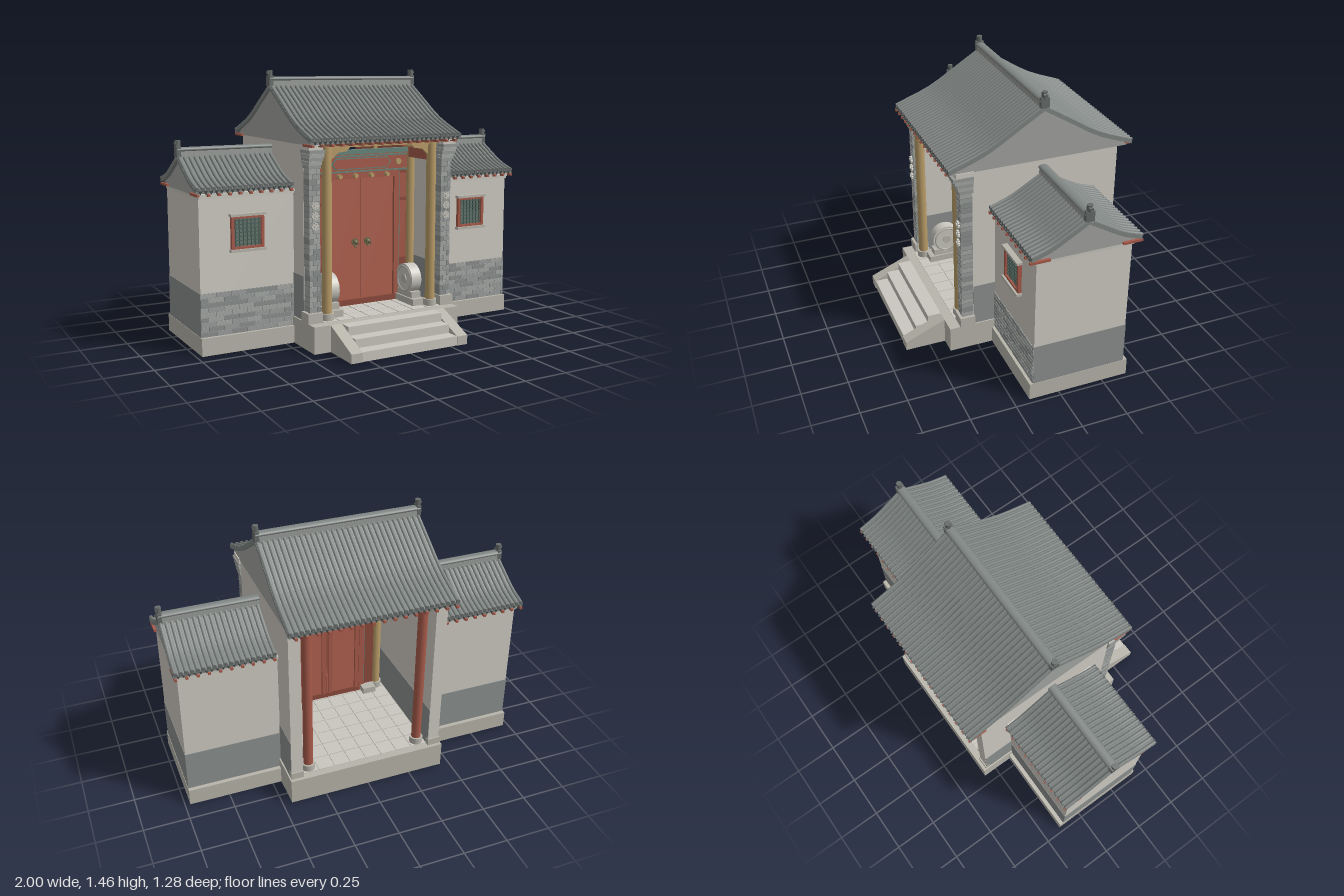
import * as THREE from 'three';
import { mergeGeometries } from 'three/addons/utils/BufferGeometryUtils.js';

const C = { wall: 0xd0ccc4, dado: 0x8c908e, stone: 0xb8b5ab, pale: 0xc9c7be, tile: 0x7f8583, tileDark: 0x666b69,
  red: 0xa65a4a, darkRed: 0x8c4a3c, gold: 0xb99c68, green: 0x64857a, darkGreen: 0x4a5e57, joint: 0x777b78, metal: 0x6e6a4c };
const ZC = -0.115; // ridge line
const mats = {};
const mat = c => (mats[c] ??= new THREE.MeshStandardMaterial({ color: c }));

export function createModel() {
  const root = new THREE.Group();
  root.name = 'courtyardGate';
  let seed = 7;
  const rnd = () => (seed = (seed * 16807) % 2147483647) / 2147483647;

  const add = (name, color, geo) => {
    const m = new THREE.Mesh(geo, mat(color));
    m.name = name;
    root.add(m);
    return m;
  };
  const boxGeo = (x0, x1, y0, y1, z0, z1) =>
    new THREE.BoxGeometry(Math.abs(x1 - x0), y1 - y0, z1 - z0).translate((x0 + x1) / 2, (y0 + y1) / 2, (z0 + z1) / 2);
  const box = (name, color, ...b) => add(name, color, boxGeo(...b));
  const cylY = (r, y0, y1, x, z, n = 20) => new THREE.CylinderGeometry(r, r, y1 - y0, n).translate(x, (y0 + y1) / 2, z);
  const cylX = (r, x0, x1, y, z, n = 16) =>
    new THREE.CylinderGeometry(r, r, Math.abs(x1 - x0), n).rotateZ(Math.PI / 2).translate((x0 + x1) / 2, y, z);
  const cylZ = (r, z0, z1, x, y, n = 16) =>
    new THREE.CylinderGeometry(r, r, z1 - z0, n).rotateX(Math.PI / 2).translate(x, y, (z0 + z1) / 2);
  // outline of [z, y] points, extruded from x0 to x1
  const slabX = (pts, x0, x1) =>
    new THREE.ExtrudeGeometry(new THREE.Shape(pts.map(p => new THREE.Vector2(...p))), { depth: x1 - x0, bevelEnabled: false })
      .rotateY(-Math.PI / 2).translate(x1, 0, 0);
  // outline of [x, y] points, extruded from z0 to z1
  const slabZ = (pts, z0, z1) =>
    new THREE.ExtrudeGeometry(new THREE.Shape(pts.map(p => new THREE.Vector2(...p))), { depth: z1 - z0, bevelEnabled: false })
      .translate(0, 0, z0);

  // rows of bricks in three shades
  function bricks(name, x0, x1, y0, y1, z0, z1, rows, len) {
    const sets = [[], [], []], h = (y1 - y0) / rows, g = 0.0015;
    for (let r = 0; r < rows; r++) {
      for (let a = x0 - (r % 2) * len * 0.5; a < x1 - 0.004; a += len) {
        const l = Math.max(a, x0), e = Math.min(a + len, x1);
        if (e - l > 0.006) sets[Math.floor(rnd() * 3)].push(boxGeo(l + g, e - g, y0 + r * h + g, y0 + (r + 1) * h - g, z0, z1));
      }
    }
    sets.forEach((s, i) => s.length && add(name, [0x8c908e, 0x9b9f9c, 0xa6a9a5][i], mergeGeometries(s)));
  }

  // curved two-sided tiled roof; prof holds [distance from ridge, height]
  function roof(name, prof, x0, x1, ribs, gables, gableY, ridgeEnds) {
    const curve = new THREE.CatmullRomCurve3(prof.map(([d, y]) => new THREE.Vector3(0, y, d)));
    const half = curve.getPoints(10).map(p => [p.z, p.y]);
    const line = dy => [...half.slice().reverse().map(([d, y]) => [ZC + d, y + dy]), ...half.slice(1).map(([d, y]) => [ZC - d, y + dy])];
    const t = 0.026, low = line(-t), [dEnd, yEnd] = half[half.length - 1];
    add(name + 'Deck', C.tile, slabX([...line(-0.006), ...low.slice().reverse()], x0, x1));
    for (const [a, b] of gables) {
      const e = dEnd - 0.02;
      add(name + 'Gable', 0xa3a5a1, slabX([...low.filter(p => Math.abs(p[0] - ZC) < e), [ZC - e, gableY], [ZC + e, gableY]], a, b));
    }
    const tubes = [], rafters = [], drips = [], step = (x1 - x0 - 0.02) / (ribs - 1);
    for (let i = 0; i < ribs; i++) {
      const x = x0 + 0.01 + i * step;
      for (const s of [1, -1]) {
        const path = new THREE.CatmullRomCurve3(prof.map(([d, y]) => new THREE.Vector3(x, y - 0.003, ZC + s * d)));
        tubes.push(new THREE.TubeGeometry(path, 8, 0.0095, 7));
        const z = ZC + s * dEnd;
        drips.push(cylZ(0.011, z - 0.004, z + 0.004, x, yEnd - 0.004, 10));
        if (i < ribs - 1) drips.push(new THREE.ConeGeometry(0.012, 0.022, 4).rotateX(Math.PI).translate(x + step / 2, yEnd - 0.022, z));
        const zi = z - s * 0.1;
        if (i % 2 === 0) rafters.push(boxGeo(x - 0.007, x + 0.007, yEnd - 0.041, yEnd - 0.028, Math.min(zi, z + s * 0.008), Math.max(zi, z + s * 0.008)));
      }
    }
    add(name + 'RibTiles', C.tile, mergeGeometries(tubes));
    add(name + 'EaveTiles', C.tileDark, mergeGeometries(drips));
    add(name + 'Rafters', C.red, mergeGeometries(rafters));
    // ridge with end ornaments
    const top = half[0][1];
    box(name + 'Ridge', 0x9a9d99, x0, x1, top - 0.02, top + 0.03, ZC - 0.02, ZC + 0.02);
    add(name + 'RidgeCap', C.tile, cylX(0.026, x0, x1, 0, 0).scale(1, 0.5, 1).translate(0, top + 0.028, ZC));
    for (const x of ridgeEnds) {
      box('ridgeOrnamentBase', C.tileDark, x - 0.012, x + 0.012, top - 0.01, top + 0.045, ZC - 0.023, ZC + 0.023);
      add('ridgeOrnament', C.tileDark, cylY(0.016, top + 0.04, top + 0.077, x, ZC, 12));
      add('ridgeOrnamentCurl', C.tileDark, cylZ(0.01, ZC - 0.012, ZC + 0.012, x + Math.sign(x) * 0.008, top + 0.062, 10));
    }
    return line(0);
  }

  // platform, floor paving and steps
  box('platform', C.stone, -0.45, 0.45, 0, 0.145, -0.58, 0.41);
  const paving = [];
  for (let i = 0; i < 8; i++) for (let j = 0; j < 9; j++) {
    const x = -0.37 + i * 0.0925, z = -0.54 + j * 0.1;
    paving.push(boxGeo(x + 0.002, x + 0.09, 0.14, 0.148, z + 0.002, z + 0.098));
  }
  add('floorPaving', C.pale, mergeGeometries(paving));
  for (let i = 0; i < 3; i++) box('step', C.pale, -0.29, 0.29, 0, 0.145 - i * 0.047, 0.41, 0.485 + i * 0.073);

  roof('mainRoof', [[0, 1.385], [0.14, 1.298], [0.31, 1.195], [0.515, 1.115]], -0.46, 0.46, 32,
    [[-0.445, -0.375], [0.375, 0.445]], 1.08, [-0.453, 0.453]);

  for (const s of [1, -1]) {
    const sbox = (name, color, a, b, ...r) => box(name, color, s * a, s * b, ...r);
    const span = (a, b) => (s > 0 ? [a, b] : [-b, -a]);
    add('stepCheek', C.stone, slabX([[0.41, 0], [0.635, 0], [0.635, 0.05], [0.41, 0.145]], ...span(0.29, 0.355)));

    // hall side wall
    sbox('sideWall', C.wall, 0.375, 0.44, 0.145, 1.08, -0.555, 0.27);
    sbox('sideWallDado', C.dado, 0.373, 0.442, 0.145, 0.385, -0.553, 0.268);
    sbox('wallEndStone', C.stone, 0.372, 0.443, 0.145, 0.185, -0.562, -0.53);

    // brick pier with stepped corbel and carved flowers
    sbox('pierBase', C.stone, 0.37, 0.455, 0.145, 0.2, 0.265, 0.35);
    sbox('pierCore', C.joint, 0.377, 0.438, 0.2, 0.96, 0.265, 0.331);
    bricks('pierBricks', ...span(0.375, 0.44), 0.2, 0.96, 0.27, 0.335, 27, 0.044);
    for (let i = 0; i < 5; i++)
      sbox('pierCorbel', i % 2 ? 0xa6a9a5 : 0x969a97, 0.372 - i * 0.002, 0.443 + i * 0.003, 0.96 + i * 0.02, 0.978 + i * 0.02, 0.265, 0.34 + i * 0.009);
    sbox('pierCap', C.wall, 0.37, 0.45, 1.055, 1.085, 0.262, 0.36);
    for (const y of [0.66, 0.715, 0.77]) {
      const petals = [cylZ(0.009, 0.335, 0.35, s * 0.407, y, 10)];
      for (let k = 0; k < 8; k++)
        petals.push(cylZ(0.006, 0.335, 0.346, s * 0.407 + 0.016 * Math.cos(k * Math.PI / 4), y + 0.016 * Math.sin(k * Math.PI / 4), 8));
      add('pierFlower', C.pale, mergeGeometries(petals));
    }

    // columns on stone feet
    for (const [z, c] of [[0.31, C.gold], [0.09, C.gold], [-0.5, C.red]]) {
      add('column', c, cylY(0.027, 0.145, 1.085, s * 0.325, z));
      add('columnFoot', C.stone, cylY(0.037, 0.145, 0.185, s * 0.325, z));
    }
    // timber frame over the hall
    sbox('tieBeam', C.red, 0.305, 0.345, 0.97, 1.03, -0.5, 0.31);
    sbox('upperBeam', C.red, 0.31, 0.34, 1.15, 1.19, -0.32, 0.09);
    sbox('kingPost', C.red, 0.312, 0.338, 1.19, 1.35, ZC - 0.014, ZC + 0.014);
    for (const z of [-0.31, 0.08]) sbox('queenPost', C.red, 0.312, 0.338, 1.03, 1.17, z - 0.014, z + 0.014);
    add('columnBracket', C.gold, slabZ([[s * 0.3, 1.0], [s * 0.3, 1.065], [s * 0.185, 1.065], [s * 0.21, 1.04], [s * 0.26, 1.035]], 0.3, 0.318));
    sbox('beamBlock', C.gold, 0.085, 0.105, 1.02, 1.065, 0.08, 0.1);

    // door jamb, leaf and hardware
    sbox('sidePanel', C.darkRed, 0.235, 0.305, 0.18, 0.99, 0.078, 0.095);
    for (const [y0, y1] of [[0.39, 0.72], [0.74, 0.88]]) sbox('sidePanelField', C.red, 0.25, 0.294, y0, y1, 0.09, 0.1);
    sbox('doorJamb', C.red, 0.208, 0.24, 0.145, 0.89, 0.07, 0.112);
    sbox('jambTrim', C.green, 0.238, 0.245, 0.2, 0.89, 0.075, 0.11);
    sbox('doorLeaf', 0xb0614f, 0.0015, 0.208, 0.18, 0.87, 0.075, 0.096);
    for (const x of [0.02, 0.19]) sbox('doorBatten', C.red, x - 0.012, x + 0.012, 0.18, 0.87, 0.062, 0.075);
    add('knockerPlate', C.metal, cylZ(0.02, 0.096, 0.102, s * 0.04, 0.505, 20));
    add('knocker', C.metal, new THREE.SphereGeometry(0.014, 16, 10).translate(s * 0.04, 0.505, 0.105));
    add('knockerRing', C.metal, new THREE.TorusGeometry(0.013, 0.003, 6, 18).translate(s * 0.04, 0.493, 0.115));
    for (const x of [0.05, 0.15]) add('lintelPin', C.gold, cylZ(0.013, 0.1, 0.14, s * x, 0.882, 6));
    add('lintelFlower', C.gold, cylZ(0.018, 0.1, 0.112, s * 0.238, 0.948, 8));

    // drum stone
    sbox('drumPedestal', C.stone, 0.22, 0.3, 0.145, 0.185, 0.02, 0.3);
    sbox('drumSaddle', C.stone, 0.23, 0.29, 0.185, 0.22, 0.12, 0.27);
    add('drumStone', C.pale, cylX(0.085, s * 0.23, s * 0.292, 0.285, 0.19, 32));
    for (const x of [0.231, 0.291])
      add('drumRim', C.stone, new THREE.TorusGeometry(0.07, 0.006, 6, 28).rotateY(Math.PI / 2).translate(s * x, 0.285, 0.19));
    add('drumBoss', C.stone, cylX(0.025, s * 0.225, s * 0.297, 0.285, 0.19));

    // wing building
    sbox('wingBase', C.stone, 0.44, 0.972, 0, 0.095, -0.395, 0.165);
    sbox('wingWall', C.wall, 0.435, 0.968, 0.095, 0.835, -0.37, 0.145);
    sbox('wingDado', C.dado, 0.435, 0.97, 0.095, 0.325, -0.372, 0.146);
    bricks('wingBricks', ...span(0.442, 0.97), 0.097, 0.325, 0.14, 0.15, 9, 0.085);
    for (let i = 0; i < 2; i++)
      sbox('wingCornice', C.pale, 0.44, 0.97, 0.815 + i * 0.013, 0.828 + i * 0.013, -0.38 - i * 0.012, 0.155 + i * 0.012);
    roof('wingRoof', [[0, 1.02], [0.09, 0.966], [0.19, 0.91], [0.295, 0.873]], ...span(0.455, 0.992), 19,
      [span(0.45, 0.972)], 0.83, [s * 0.984]);

    // lattice window
    const wx = s * 0.708;
    box('windowBacking', 0x66776f, wx - 0.08, wx + 0.08, 0.55, 0.71, 0.14, 0.149);
    for (const e of [-1, 1]) {
      box('windowJamb', C.red, wx + e * 0.083 - 0.008, wx + e * 0.083 + 0.008, 0.545, 0.715, 0.14, 0.165);
      const y = 0.63 + e * 0.08;
      box('windowRail', C.red, wx - 0.09, wx + 0.09, y - 0.007, y + 0.007, 0.14, 0.164);
      const ys = 0.63 + e * 0.093;
      box('windowLedge', C.stone, wx - 0.098, wx + 0.098, ys - 0.007, ys + 0.007, 0.14, 0.176);
    }
    const bars = [];
    for (let i = -3; i <= 3; i++) {
      bars.push(boxGeo(wx + i * 0.022 - 0.002, wx + i * 0.022 + 0.002, 0.557, 0.703, 0.148, 0.156));
      bars.push(boxGeo(wx - 0.075, wx + 0.075, 0.63 + i * 0.021 - 0.002, 0.63 + i * 0.021 + 0.002, 0.148, 0.157));
    }
    add('windowLattice', C.darkGreen, mergeGeometries(bars));
  }

  // door threshold and decorated lintel
  box('threshold', C.darkRed, -0.235, 0.235, 0.145, 0.18, 0.07, 0.112);
  box('doorHead', C.red, -0.24, 0.24, 0.865, 0.9, 0.07, 0.112);
  box('lintelPanel', C.red, -0.3, 0.3, 0.9, 1.0, 0.075, 0.1);
  add('lintelBorder', C.green, slabZ([[-0.19, 0.948], [-0.165, 0.917], [0.165, 0.917], [0.19, 0.948], [0.165, 0.979], [-0.165, 0.979]], 0.1, 0.105));
  add('lintelField', C.red, slabZ([[-0.181, 0.948], [-0.161, 0.922], [0.161, 0.922], [0.181, 0.948], [0.161, 0.974], [-0.161, 0.974]], 0.1, 0.108));
  for (const y of [0.903, 0.99]) box('lintelTrim', C.green, -0.295, 0.295, y - 0.005, y + 0.005, 0.075, 0.108);
  box('upperLintel', C.green, -0.3, 0.3, 1.0, 1.025, 0.072, 0.108);
  box('frontBeam', C.gold, -0.345, 0.345, 1.062, 1.085, 0.29, 0.33);
  box('middleBeam', C.green, -0.345, 0.345, 1.06, 1.085, 0.075, 0.105);
  box('backBeam', C.red, -0.345, 0.345, 1.02, 1.075, -0.515, -0.485);
  // purlins carrying the roof
  for (const [z, y] of [[-0.5, 1.11], [-0.31, 1.2], [ZC, 1.335], [0.08, 1.2], [0.3, 1.1]])
    add('purlin', C.red, cylX(0.02, -0.4, 0.4, y, z));
  return root;
}
